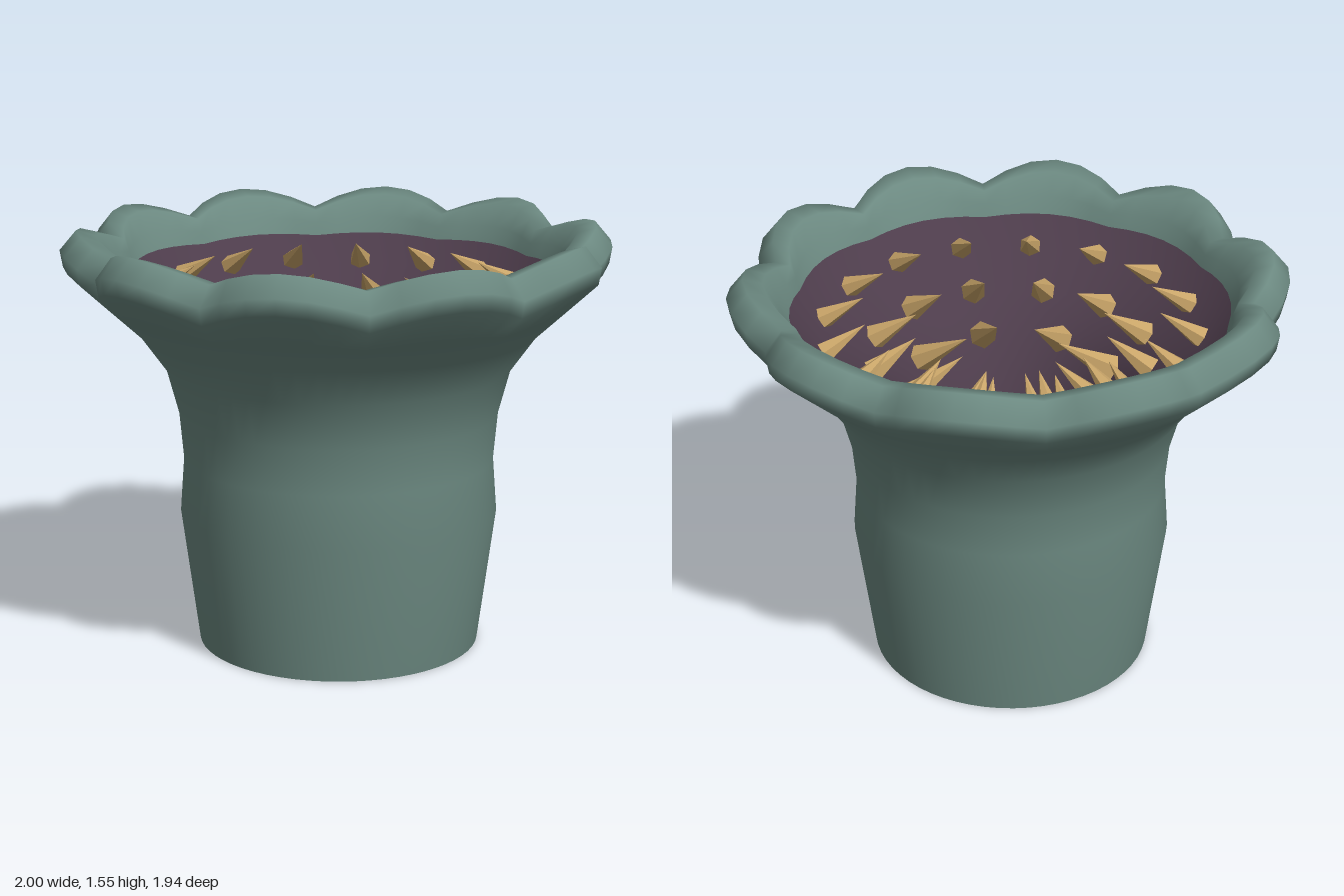
import * as THREE from 'three';

const SEGMENTS = 60;
const LOBES = 10;

// Surface of revolution with scalloped lobes; each profile point is
// [radius, height, scallop weight], ordered so the surface faces outwards.
function scallopedSurface(profile) {
  const positions = [];
  const indices = [];
  for (const [r, y, w = 0] of profile) {
    for (let j = 0; j < SEGMENTS; j++) {
      const a = (j / SEGMENTS) * Math.PI * 2;
      const dip = w * (1 - Math.abs(Math.sin((a * LOBES) / 2)));
      const radius = r - 0.08 * dip;
      positions.push(radius * Math.sin(a), y - 0.07 * dip, radius * Math.cos(a));
    }
  }
  for (let i = 0; i < profile.length - 1; i++) {
    for (let j = 0; j < SEGMENTS; j++) {
      const k = (j + 1) % SEGMENTS;
      const a = i * SEGMENTS + j, b = i * SEGMENTS + k;
      const c = a + SEGMENTS, d = b + SEGMENTS;
      indices.push(a, b, d, a, d, c);
    }
  }
  const geometry = new THREE.BufferGeometry();
  geometry.setAttribute('position', new THREE.Float32BufferAttribute(positions, 3));
  geometry.setIndex(indices);
  geometry.computeVertexNormals();
  return geometry;
}

// Flat-sided cone running from its base to its tip in the x = 0 plane
function toothGeometry(baseR, baseY, tipR, tipY, radius) {
  const base = new THREE.Vector3(0, baseY, baseR);
  const tip = new THREE.Vector3(0, tipY, tipR);
  const direction = tip.clone().sub(base);
  const length = direction.length();
  const cone = new THREE.ConeGeometry(radius, length, 6).toNonIndexed();
  cone.computeVertexNormals();
  cone.translate(0, length / 2, 0);
  cone.applyQuaternion(new THREE.Quaternion().setFromUnitVectors(
    new THREE.Vector3(0, 1, 0), direction.normalize()));
  cone.translate(base.x, base.y, base.z);
  return cone;
}

export function createModel() {
  const model = new THREE.Group();
  model.name = 'toothedMaw';

  const skin = new THREE.MeshStandardMaterial({ color: 0x6b8880, side: THREE.DoubleSide });
  skin.name = 'grey green skin';
  const flesh = new THREE.MeshStandardMaterial({ color: 0x4d3c4b, side: THREE.DoubleSide });
  flesh.name = 'dark purple flesh';
  const ivory = new THREE.MeshStandardMaterial({ color: 0xc8a468 });
  ivory.name = 'tan tooth';

  // Open trunk flaring into a rolled, scalloped lip
  const body = new THREE.Mesh(scallopedSurface([
    [0.52, 0], [0.585, 0.5], [0.57, 0.7], [0.585, 0.87], [0.63, 1.04],
    [0.73, 1.18], [0.86, 1.3, 0.35], [0.99, 1.42, 1], [1.0, 1.48, 1],
    [0.94, 1.55, 1], [0.87, 1.53, 0.8], [0.815, 1.45, 0.35], [0.785, 1.39, 0.15],
  ]), skin);
  body.name = 'trunkAndLip';
  model.add(body);

  // Funnel-shaped throat hanging inside the trunk
  const throat = new THREE.Mesh(scallopedSurface([
    [0.785, 1.39, 0.15], [0.68, 1.29], [0.52, 1.19], [0.39, 1.07],
    [0.27, 0.86], [0.18, 0.6], [0.1, 0.34], [0.05, 0.27], [0.003, 0.24],
  ]), flesh);
  throat.name = 'throat';
  model.add(throat);

  // Three rings of inward-pointing teeth
  const rings = [
    { name: 'outerTeeth', count: 16, offset: 0, shape: [0.68, 1.3, 0.53, 1.39, 0.042] },
    { name: 'middleTeeth', count: 12, offset: 0.5, shape: [0.51, 1.2, 0.35, 1.31, 0.048] },
    { name: 'innerTeeth', count: 8, offset: 0, shape: [0.38, 1.08, 0.18, 1.21, 0.052] },
  ];
  for (const { name, count, offset, shape } of rings) {
    const ring = new THREE.Group();
    ring.name = name;
    const geometry = toothGeometry(...shape);
    for (let i = 0; i < count; i++) {
      const tooth = new THREE.Mesh(geometry, ivory);
      tooth.name = 'tooth';
      tooth.rotation.y = ((i + offset) / count) * Math.PI * 2;
      ring.add(tooth);
    }
    model.add(ring);
  }
  return model;
}
